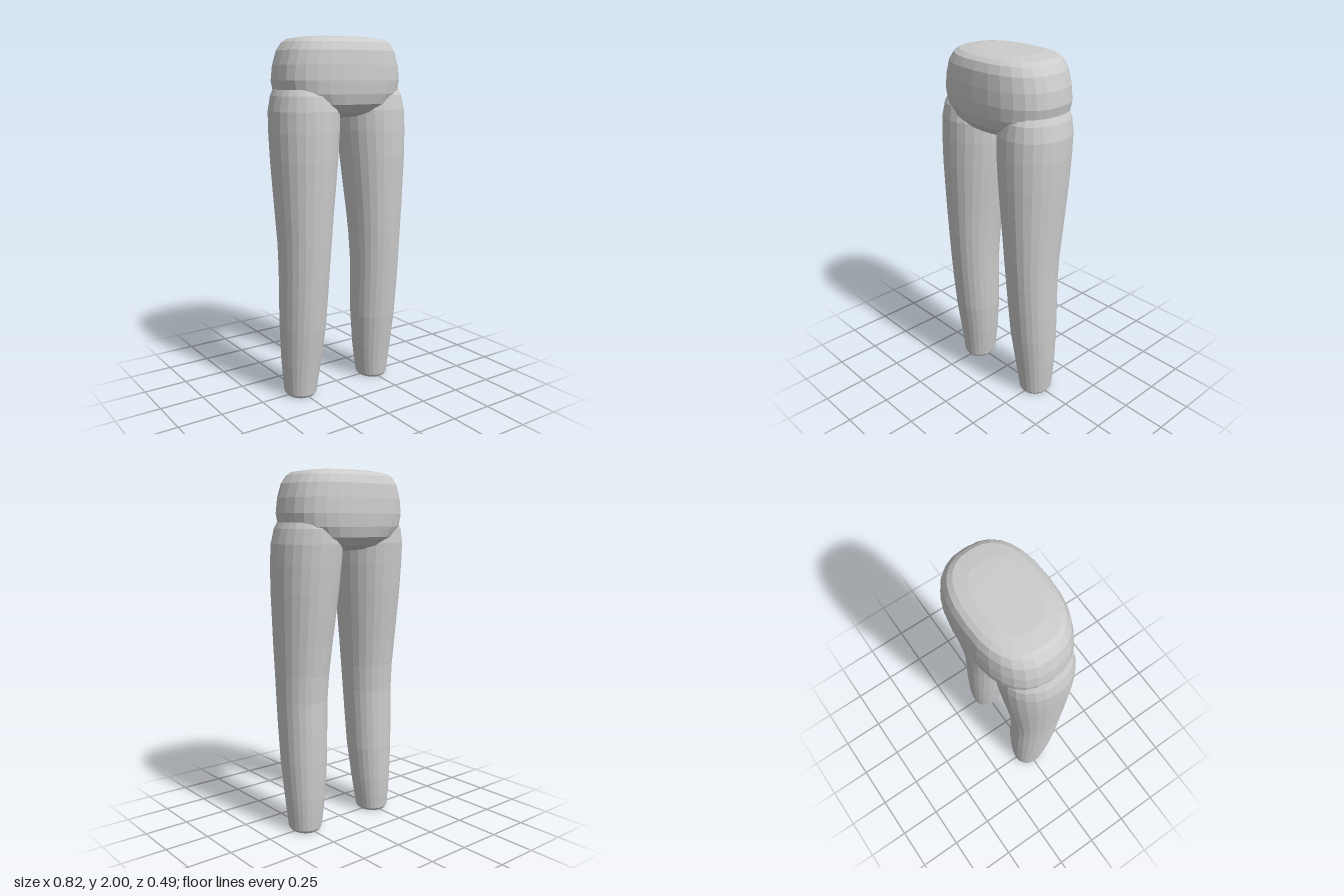
import * as THREE from 'three';

// Skin a stack of superellipse rings, each [y, xMin, xMax, zMin, zMax], from bottom to top
function loft(rings, sides, power, capBottom, capTop) {
  const pos = [], idx = [];
  const bend = v => Math.sign(v) * Math.abs(v) ** (2 / power);
  for (const [y, x0, x1, z0, z1] of rings) {
    for (let i = 0; i < sides; i++) {
      const a = (i / sides) * Math.PI * 2;
      pos.push((x0 + x1) / 2 + bend(Math.sin(a)) * (x1 - x0) / 2, y,
        (z0 + z1) / 2 + bend(Math.cos(a)) * (z1 - z0) / 2);
    }
  }
  for (let r = 0; r < rings.length - 1; r++) {
    for (let i = 0; i < sides; i++) {
      const j = (i + 1) % sides, a = r * sides + i, b = r * sides + j;
      idx.push(a, b, b + sides, a, b + sides, a + sides);
    }
  }
  const cap = (r, up) => {
    const [y, x0, x1, z0, z1] = rings[r];
    const c = pos.length / 3;
    pos.push((x0 + x1) / 2, y, (z0 + z1) / 2);
    for (let i = 0; i < sides; i++) {
      const a = r * sides + i, b = r * sides + (i + 1) % sides;
      if (up) idx.push(c, a, b); else idx.push(c, b, a);
    }
  };
  if (capBottom) cap(0, false);
  if (capTop) cap(rings.length - 1, true);
  const g = new THREE.BufferGeometry();
  g.setAttribute('position', new THREE.Float32BufferAttribute(pos, 3));
  g.setIndex(idx);
  // separate faces give each facet its own normal
  const flat = g.toNonIndexed();
  flat.computeVertexNormals();
  return flat;
}

export function createModel() {
  const model = new THREE.Group();
  model.name = 'trousers';
  const grey = new THREE.MeshStandardMaterial({ color: 0xcccccc });
  grey.name = 'light grey';
  grey.flatShading = true;
  grey.side = THREE.DoubleSide;

  // Hips: rounded block, [y, half width, half depth]
  const hipRings = [
    [1.57, 0.07, 0.06], [1.577, 0.13, 0.12], [1.6, 0.22, 0.18], [1.645, 0.31, 0.222],
    [1.7, 0.358, 0.238], [1.77, 0.372, 0.244], [1.85, 0.362, 0.241], [1.925, 0.338, 0.233],
    [1.968, 0.308, 0.215], [1.986, 0.284, 0.188], [1.998, 0.2, 0.135], [2, 0.12, 0.08],
  ].map(([y, w, d]) => [y, -w, w, -d, d]);
  const hips = new THREE.Mesh(loft(hipRings, 28, 2.5, true, true), grey);
  hips.name = 'hips';
  model.add(hips);

  // Leg: tapered tube, open at the ankle
  const legRings = [
    [0, 0.176, 0.334, -0.082, 0.092], [0.015, 0.165, 0.345, -0.092, 0.102],
    [0.1, 0.152, 0.353, -0.1, 0.113], [0.2, 0.138, 0.362, -0.106, 0.127],
    [0.4, 0.118, 0.374, -0.11, 0.156], [0.6, 0.11, 0.379, -0.108, 0.175],
    [0.75, 0.104, 0.381, -0.106, 0.187], [0.9, 0.094, 0.385, -0.115, 0.197],
    [1.05, 0.081, 0.393, -0.132, 0.205], [1.2, 0.065, 0.4, -0.15, 0.212],
    [1.35, 0.05, 0.407, -0.167, 0.218], [1.5, 0.037, 0.41, -0.18, 0.219],
    [1.61, 0.034, 0.407, -0.188, 0.215], [1.69, 0.06, 0.388, -0.184, 0.2],
    [1.722, 0.08, 0.373, -0.17, 0.18],
  ];
  const mirror = ([y, x0, x1, z0, z1]) => [y, -x1, -x0, z0, z1];
  for (const [name, rings] of [['leftLeg', legRings], ['rightLeg', legRings.map(mirror)]]) {
    const leg = new THREE.Mesh(loft(rings, 24, 2.1, false, true), grey);
    leg.name = name;
    model.add(leg);
  }
  return model;
}
